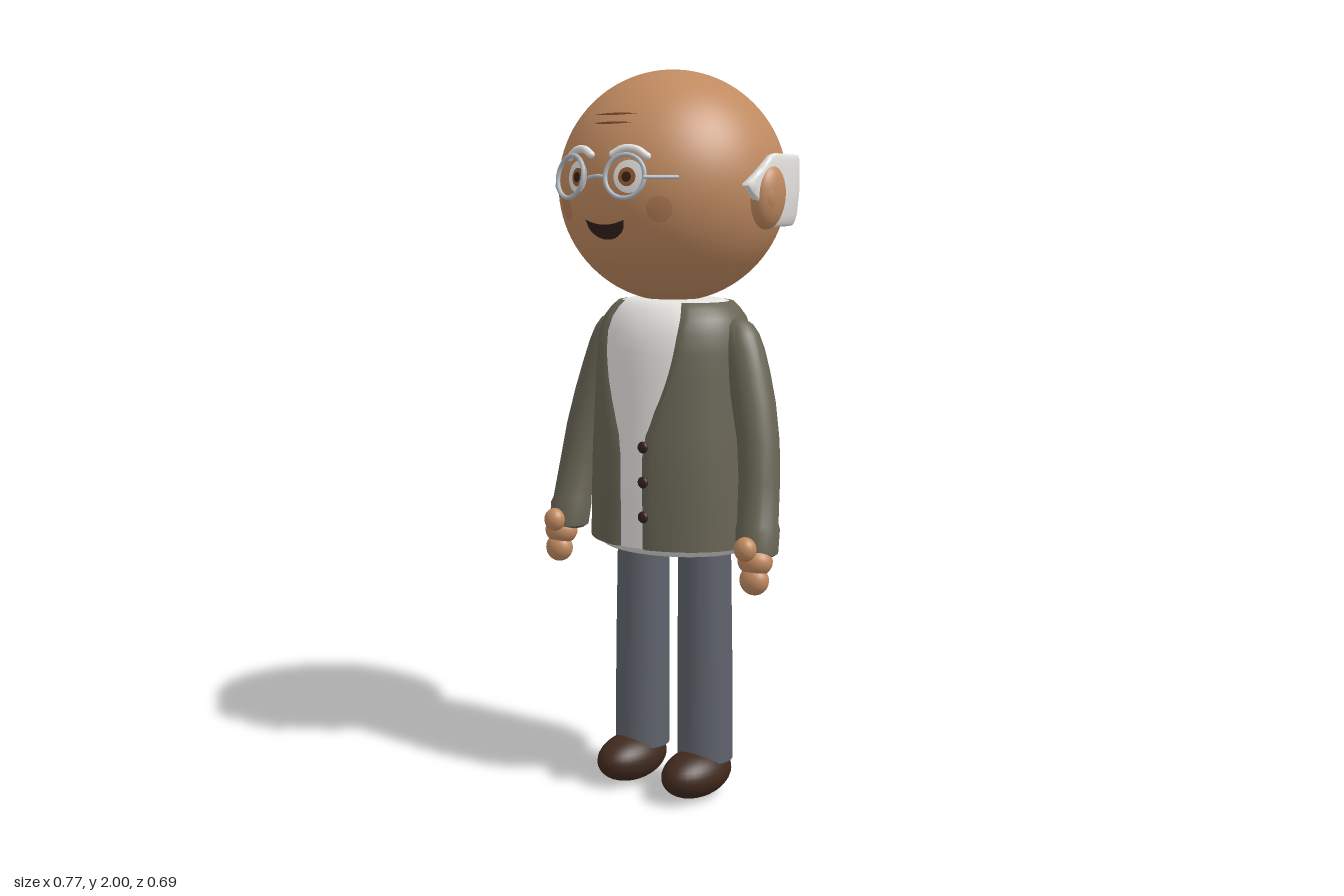
import * as THREE from 'three';
import { toCreasedNormals } from 'three/addons/utils/BufferGeometryUtils.js';

const mat = (name, color, side = THREE.FrontSide) => {
  const m = new THREE.MeshStandardMaterial({ color, side });
  m.name = name;
  return m;
};

export function createModel() {
  const model = new THREE.Group();
  model.name = 'elderlyMan';
  const skin = mat('skin', 0xc08a60);
  const white = mat('whiteHairAndShirt', 0xe6e4e1, THREE.DoubleSide);
  const wool = mat('jacketWool', 0x686555, THREE.DoubleSide);
  const denim = mat('trouserCloth', 0x5e626b);
  const leather = mat('shoeLeather', 0x40291e);
  const dark = mat('darkBrown', 0x33201a);
  const metal = mat('glassesMetal', 0xb4bcc4);
  const iris = mat('irisBrown', 0x9a5a30);
  const crease = mat('wrinkleBrown', 0x6e452c);
  const blush = mat('cheek', 0xb57c55);

  const HEAD = new THREE.Vector3(0, 1.69, -0.003), R = 0.311;

  const add = (name, geometry, material, parent = model) => {
    const mesh = new THREE.Mesh(geometry, material);
    mesh.name = name;
    parent.add(mesh);
    return mesh;
  };
  const ball = (name, material, p, r) => {
    const m = add(name, new THREE.SphereGeometry(1, 32, 20), material);
    m.position.set(...p);
    m.scale.set(...r);
    return m;
  };
  // Surface from a rule fn(u, v) -> [x, y, z]
  const surface = (nu, nv, fn, angle = 0.8) => {
    const g = new THREE.PlaneGeometry(1, 1, nu, nv);
    const p = g.attributes.position;
    for (let i = 0; i < p.count; i++) p.setXYZ(i, ...fn(p.getX(i) + 0.5, p.getY(i) + 0.5));
    g.computeVertexNormals();
    return toCreasedNormals(g, angle);
  };
  // Stack of ellipses, bottom to top: [y, cx, cz, rx, rz, half width of front opening]
  const loft = (rows, s = 1, n = 48) => surface(n, rows.length - 1, (u, v) => {
    const [y, cx, cz, rx, rz, open = 0] = rows[Math.round(v * (rows.length - 1))];
    const t0 = open ? Math.asin(open / rx) : 0;
    const t = t0 + (2 * Math.PI - 2 * t0) * u;
    const k = open && (u < 0.001 || u > 0.999) ? 0.94 : 1;
    return [s * cx + k * rx * Math.sin(t), y, cz + k * rz * Math.cos(t)];
  });
  const tube = (name, pts, r, material) => add(name, new THREE.TubeGeometry(
    new THREE.CatmullRomCurve3(pts.map(p => new THREE.Vector3(...p))), 16, r, 10), material);
  // Thin round cap lying on the head
  const cap = (name, x, y, r, lift, material) => {
    const rad = R + lift;
    const m = add(name, new THREE.SphereGeometry(rad, 28, 5, 0, Math.PI * 2, 0, Math.asin(r / rad)), material);
    m.position.copy(HEAD);
    const d = new THREE.Vector3(x, y - HEAD.y, 0);
    d.z = Math.sqrt(rad * rad - d.lengthSq());
    m.quaternion.setFromUnitVectors(new THREE.Vector3(0, 1, 0), d.normalize());
  };
  // Thin painted patch on the head, between two edge curves
  const patch = (name, half, top, bottom, lift, material) => add(name, surface(20, 4, (u, v) => {
    const x = half * (2 * u - 1), e = 2 * u - 1;
    const y = THREE.MathUtils.lerp(bottom(e), top(e), v);
    return [x, y, HEAD.z + Math.sqrt((R + lift) ** 2 - x * x - (y - HEAD.y) ** 2)];
  }), material);

  // Head
  add('head', new THREE.SphereGeometry(R, 64, 48), skin).position.copy(HEAD);

  // Band of hair round the back, tapering in front of the ears
  const span = 1.9, taper = 1.62;
  add('hairBand', surface(72, 20, (u, v) => {
    const phi = (0.5 - u) * 2 * span;
    const f = Math.max(0, (Math.abs(phi) - taper) / (span - taper));
    const a = 2 * Math.PI * v, c = Math.cos(a), s = Math.sin(a);
    const sq = q => Math.sign(q) * Math.abs(q) ** 0.35;
    const dy = 0.095 * (1 - 0.96 * f) * sq(s);
    const y = 1.68 + 0.015 * f + dy;
    const r = 0.332 + 0.0125 * sq(c) - 0.9 * Math.max(0, 1.66 - y) ** 1.6;
    return [r * Math.sin(phi), y, -r * Math.cos(phi)];
  }, 1), white);

  // Face
  patch('mouth', 0.064, e => 1.592 + 0.013 * e * e,
    e => 1.605 - 0.052 * Math.sqrt(Math.max(0, 1 - e * e)), 0.003, dark);
  for (const [y, w] of [[1.875, 0.07], [1.852, 0.065]])
    patch('foreheadLine', w, e => y + 0.003 * (1 - e * e), e => y - 0.003 * (1 - e * e), 0.002, crease);
  tube('glassesBridge', [[-0.032, 1.712, 0.316], [0, 1.716, 0.319], [0.032, 1.712, 0.316]], 0.005, metal);

  // Jacket: rim rows turn inward at hem and collar
  const body = [
    [0.72, 0, -0.01, 0.236, 0.19, 0.033], [0.72, 0, -0.01, 0.251, 0.205, 0.033],
    [0.85, 0, -0.01, 0.247, 0.206, 0.033], [0.97, 0, -0.01, 0.242, 0.206, 0.033],
    [1.03, 0, -0.011, 0.239, 0.205, 0.043], [1.1, 0, -0.012, 0.235, 0.203, 0.07],
    [1.18, 0, -0.012, 0.231, 0.2, 0.1], [1.25, 0, -0.012, 0.227, 0.196, 0.116],
    [1.3, 0, -0.012, 0.222, 0.188, 0.121], [1.34, 0, -0.013, 0.207, 0.172, 0.12],
    [1.365, 0, -0.014, 0.187, 0.156, 0.113], [1.382, 0, -0.015, 0.167, 0.14, 0.103],
    [1.382, 0, -0.015, 0.15, 0.126, 0.095]];
  add('jacket', loft(body, 1, 72), wool);
  // Shirt just inside it, closed above and below
  const shirt = body.slice(1, -1).map(([y, cx, cz, rx, rz]) => [y, cx, cz, rx - 0.011, rz - 0.009]);
  add('shirt', loft([[0.7, 0, -0.01, 0.001, 0.001], [0.7, 0, -0.01, 0.215, 0.172], ...shirt,
    [1.388, 0, -0.015, 0.13, 0.11], [1.388, 0, -0.015, 0.001, 0.001]], 1, 72), white);
  for (const y of [1.0, 0.905, 0.81]) ball('button', dark, [0.046, y, 0.193], [0.016, 0.016, 0.009]);

  // Paired parts
  for (const s of [1, -1]) {
    const side = s > 0 ? 'left' : 'right';
    // Ear
    const ear = ball(side + 'Ear', skin, [s * 0.325, 1.662, 0.018], [0.037, 0.084, 0.06]);
    ear.rotation.z = -s * 0.1;
    ball(side + 'EarInner', skin, [s * 0.336, 1.667, 0.032], [0.025, 0.05, 0.036]);
    // Eye, cheek and brow
    cap(side + 'EyeWhite', s * 0.085, 1.715, 0.042, 0.004, white);
    cap(side + 'Iris', s * 0.082, 1.714, 0.024, 0.006, iris);
    cap(side + 'Pupil', s * 0.082, 1.714, 0.013, 0.008, dark);
    cap(side + 'Cheek', s * 0.155, 1.632, 0.034, 0.001, blush);
    tube(side + 'Brow', [[s * 0.036, 1.771, 0.301], [s * 0.065, 1.785, 0.293],
      [s * 0.1, 1.783, 0.284], [s * 0.128, 1.765, 0.276]], 0.01, white);
    for (const e of [[0.036, 1.771, 0.301], [0.128, 1.765, 0.276]])
      ball(side + 'BrowEnd', white, [s * e[0], e[1], e[2]], [0.01, 0.01, 0.01]);
    // Glasses
    const ring = add(side + 'GlassesRim', new THREE.TorusGeometry(0.055, 0.006, 10, 36), metal);
    ring.position.set(s * 0.09, 1.715, 0.32);
    ring.rotation.set(-0.15, s * 0.24, 0, 'YXZ');
    tube(side + 'GlassesArm', [[s * 0.146, 1.713, 0.315], [s * 0.172, 1.713, 0.28], [s * 0.2, 1.713, 0.24]], 0.005, metal);
    // Sleeve, with a slightly fuller cuff
    add(side + 'Sleeve', loft([
      [0.725, 0.328, 0.062, 0.001, 0.001], [0.72, 0.328, 0.062, 0.045, 0.043],
      [0.728, 0.328, 0.062, 0.057, 0.055], [0.79, 0.325, 0.055, 0.06, 0.057],
      [0.805, 0.323, 0.052, 0.056, 0.053], [0.92, 0.312, 0.03, 0.056, 0.054],
      [1.02, 0.298, 0.015, 0.057, 0.056], [1.12, 0.273, 0.002, 0.06, 0.058],
      [1.2, 0.25, -0.006, 0.06, 0.056], [1.26, 0.232, -0.01, 0.058, 0.053],
      [1.3, 0.22, -0.012, 0.052, 0.047], [1.325, 0.213, -0.013, 0.04, 0.036],
      [1.338, 0.208, -0.014, 0.022, 0.02], [1.342, 0.206, -0.014, 0.001, 0.001]], s, 32), wool);
    // Hand
    ball(side + 'Palm', skin, [s * 0.338, 0.71, 0.085], [0.049, 0.04, 0.042]);
    ball(side + 'Fingers', skin, [s * 0.34, 0.66, 0.092], [0.041, 0.04, 0.035]);
    ball(side + 'Thumb', skin, [s * 0.331, 0.747, 0.122], [0.031, 0.033, 0.028]);
    // Trouser leg and shoe
    add(side + 'TrouserLeg', loft([
      [0.1, 0.112, -0.004, 0.001, 0.001], [0.1, 0.112, -0.004, 0.078, 0.078],
      [0.4, 0.11, -0.005, 0.077, 0.076], [0.74, 0.107, -0.006, 0.073, 0.073],
      [0.74, 0.107, -0.006, 0.001, 0.001]], s, 40), denim);
    ball(side + 'Shoe', leather, [s * 0.115, 0.067, 0.04], [0.08, 0.067, 0.126]);
  }
  return model;
}
